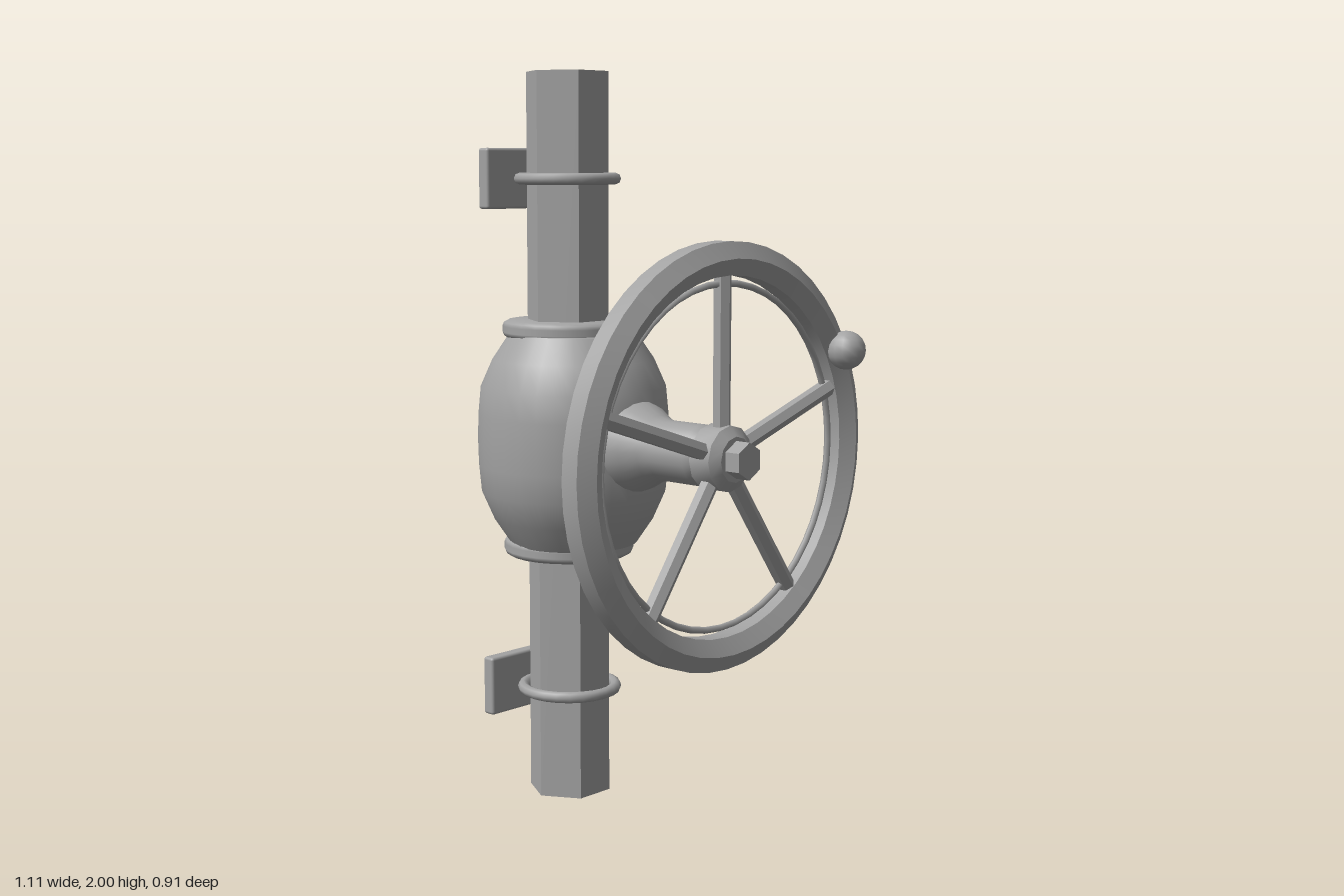
import * as THREE from 'three';
import { toCreasedNormals } from 'three/addons/utils/BufferGeometryUtils.js';
import { RoundedBoxGeometry } from 'three/addons/geometries/RoundedBoxGeometry.js';

const PIPE_Z = -0.21;   // pipe axis
const MID_Y = 1.005;    // valve and handwheel height
const WHEEL_Z = 0.345;  // handwheel plane

export function createModel() {
  const model = new THREE.Group();
  model.name = 'valve';
  const metal = new THREE.MeshStandardMaterial({ color: 0xa3a3a3 });
  metal.name = 'grey metal';

  const add = (parent, name, geometry, x = 0, y = 0, z = 0) => {
    const mesh = new THREE.Mesh(geometry, metal);
    mesh.name = name;
    mesh.position.set(x, y, z);
    parent.add(mesh);
    return mesh;
  };
  // Turned part from [radius, height] points, listed bottom to top
  const turned = (points, segments, crease = 0.45) => toCreasedNormals(
    new THREE.LatheGeometry(points.map(([r, h]) => new THREE.Vector2(r, h)), segments), crease);
  const hexBar = (radius, length) =>
    toCreasedNormals(new THREE.CylinderGeometry(radius, radius, length, 6), 0.4);

  // Hexagonal pipe with corners to the left and right
  add(model, 'pipe', hexBar(0.115, 2).rotateY(Math.PI / 6), 0, 1, PIPE_Z);

  // Swollen valve body
  add(model, 'valveBody', turned([
    [0, -0.3], [0.175, -0.29], [0.222, -0.22], [0.255, -0.145], [0.262, -0.07], [0.264, 0],
    [0.262, 0.07], [0.255, 0.145], [0.222, 0.22], [0.175, 0.29], [0, 0.3],
  ], 32, 0.7), 0, MID_Y, -0.19);

  // Flanges and wall clamps, mirrored above and below the body
  const flange = turned([
    [0, -0.024], [0.165, -0.024], [0.176, -0.018], [0.18, -0.008],
    [0.18, 0.008], [0.176, 0.018], [0.165, 0.024], [0, 0.024],
  ], 24, 0.8);
  for (const [side, label] of [[1, 'upper'], [-1, 'lower']]) {
    add(model, label + 'Flange', flange, 0, MID_Y + side * 0.302, PIPE_Z);
    const clamp = new THREE.Group();
    clamp.name = label + 'Clamp';
    clamp.position.set(0, MID_Y + side * 0.709, PIPE_Z);
    model.add(clamp);
    add(clamp, 'clampRing', new THREE.TorusGeometry(0.13, 0.016, 8, 24).rotateX(Math.PI / 2));
    add(clamp, 'wallPlate', new RoundedBoxGeometry(0.33, 0.165, 0.038, 2, 0.008), 0, 0, -0.16);
  }

  // Flared neck reaching forward to the handwheel
  add(model, 'neck', turned([
    [0.13, 0], [0.126, 0.05], [0.115, 0.085], [0.09, 0.13], [0.081, 0.16],
    [0.081, 0.28], [0.072, 0.3], [0, 0.3],
  ], 24, 0.6).rotateX(Math.PI / 2), 0, MID_Y, 0);

  // Handwheel
  const wheel = new THREE.Group();
  wheel.name = 'handwheel';
  wheel.position.set(0, MID_Y, WHEEL_Z);
  model.add(wheel);

  // Rim with a six-sided section
  const section = [];
  for (let i = 0; i <= 6; i++) {
    const a = -Math.PI / 6 + i * Math.PI / 3;
    section.push([0.513 + 0.05 * Math.cos(a), 0.05 * Math.sin(a)]);
  }
  add(wheel, 'rim', turned(section, 48).rotateX(Math.PI / 2));
  add(wheel, 'innerRing', new THREE.TorusGeometry(0.449, 0.009, 6, 48));

  // Five hexagonal spokes
  const spoke = hexBar(0.024, 0.42).translate(0, 0.265, 0);
  for (let i = 0; i < 5; i++) {
    add(wheel, 'spoke', spoke).rotation.z = i * Math.PI * 2 / 5;
  }

  // Hub and hexagonal nut
  add(wheel, 'hub', turned([
    [0, -0.05], [0.07, -0.05], [0.087, -0.035], [0.087, 0.03], [0.06, 0.05], [0, 0.05],
  ], 12, 0.6).rotateX(Math.PI / 2));
  add(wheel, 'nut', hexBar(0.049, 0.06).rotateX(Math.PI / 2), 0, 0, 0.064);

  // Grip knob on the rim
  add(wheel, 'knob', new THREE.SphereGeometry(0.053, 14, 10), 0.45, 0.25, 0.058);

  return model;
}
